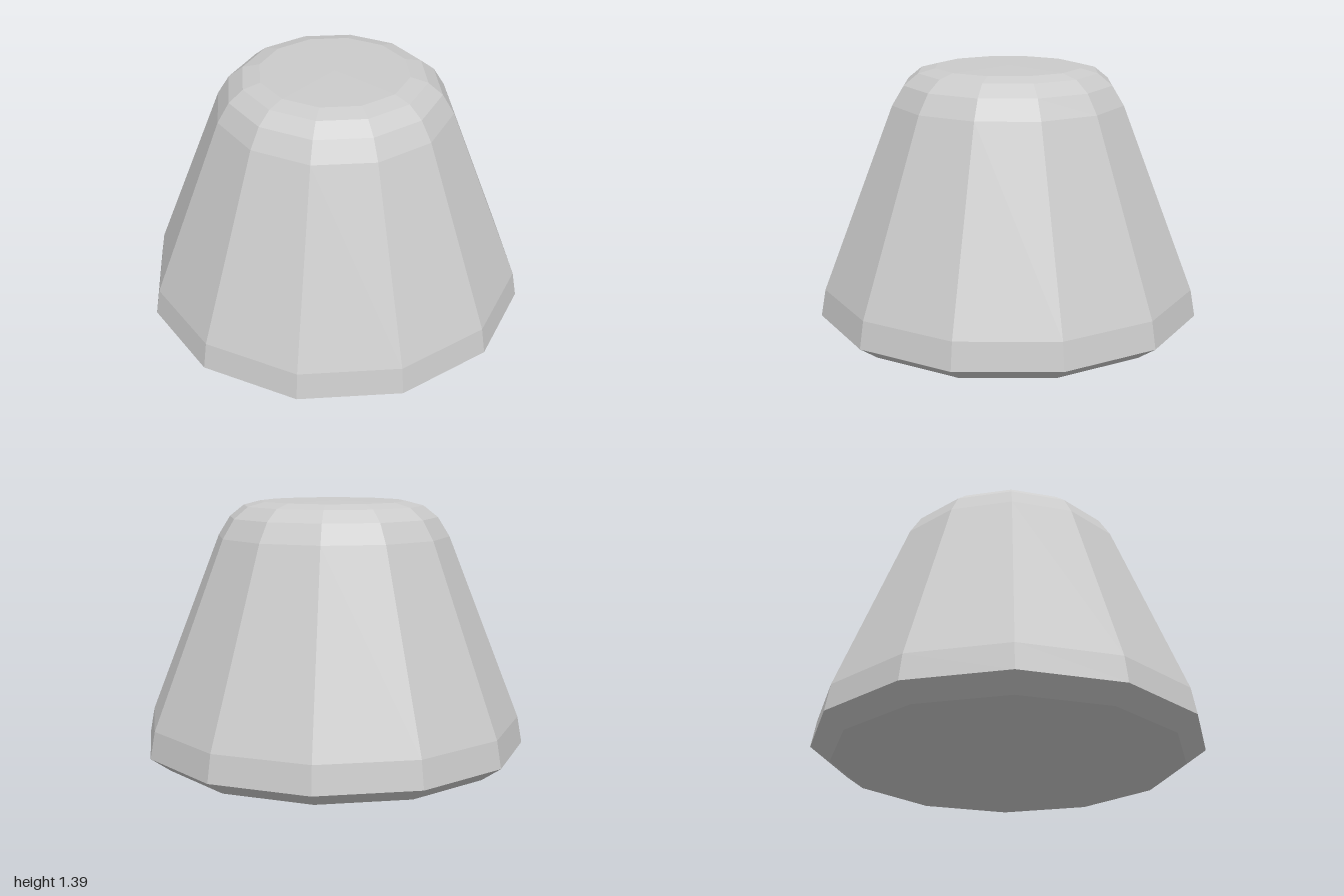
import * as THREE from 'three';

export function createModel() {
  const group = new THREE.Group();
  const material = new THREE.MeshStandardMaterial({ color: 0xcccccc, flatShading: true });

  // Radius and height of each ring, from the underside to the flat top
  const profile = [
    [0, 0], [0.7, 0.003], [0.91, 0.025], [1.015, 0.1], [0.99, 0.24],
    [0.612, 1.2], [0.55, 1.3], [0.475, 1.36], [0.385, 1.383], [0, 1.386],
  ].map(([r, y]) => new THREE.Vector2(r, y));

  // Twelve-sided tapered body with bevelled rims, turned slightly about y
  const sides = 12;
  const turn = THREE.MathUtils.degToRad(20);
  const body = new THREE.Mesh(
    new THREE.LatheGeometry(profile, sides, turn, Math.PI * 2),
    material,
  );
  body.name = 'taperedBody';
  group.add(body);

  return group;
}
